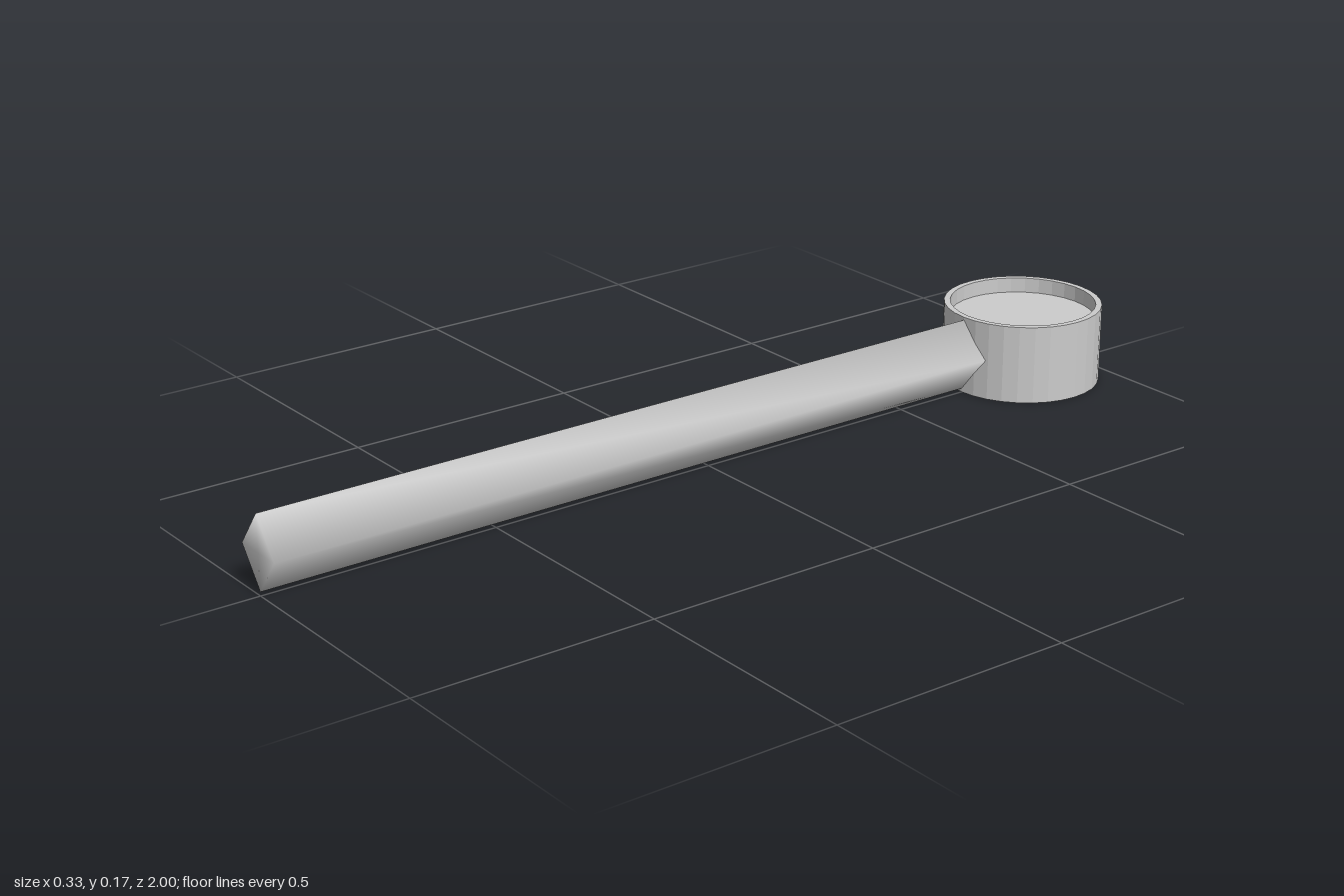
import * as THREE from 'three';
import { mergeVertices } from 'three/addons/utils/BufferGeometryUtils.js';

const HEIGHT = 0.166, RADIUS = 0.166, INNER = 0.153, HEAD_Z = -0.834, RECESS = 0.032, SIDES = 32;

export function createModel() {
  const group = new THREE.Group();
  const faceted = new THREE.MeshStandardMaterial({ color: 0xcccccc, flatShading: true });
  const smooth = new THREE.MeshStandardMaterial({ color: 0xcccccc });

  const add = (name, geometry, material, y, z) => {
    const mesh = new THREE.Mesh(geometry, material);
    mesh.name = name;
    mesh.position.set(0, y, z);
    group.add(mesh);
  };

  // Hollow rim, a closed rectangular section turned about y
  const section = [
    [RADIUS, 0], [RADIUS, HEIGHT], [INNER, HEIGHT], [INNER, 0], [RADIUS, 0],
  ].map(([r, y]) => new THREE.Vector2(r, y));
  add('rim', new THREE.LatheGeometry(section, SIDES), faceted, 0, HEAD_Z);

  // Lens, recessed from both edges of the rim
  add('lens', new THREE.CylinderGeometry(INNER, INNER, HEIGHT - 2 * RECESS, SIDES),
    faceted, HEIGHT / 2, HEAD_Z);

  // Diamond-section handle, with shared normals softening its edges and ends
  const back = -0.68, front = 1;
  let handle = new THREE.CylinderGeometry(1, 1, front - back, 4);
  handle.scale(0.058, 1, 0.076);
  handle.rotateX(Math.PI / 2);
  handle.deleteAttribute('normal');
  handle.deleteAttribute('uv');
  handle = mergeVertices(handle);
  handle.computeVertexNormals();
  add('handle', handle, smooth, 0.084, (front + back) / 2);

  return group;
}
